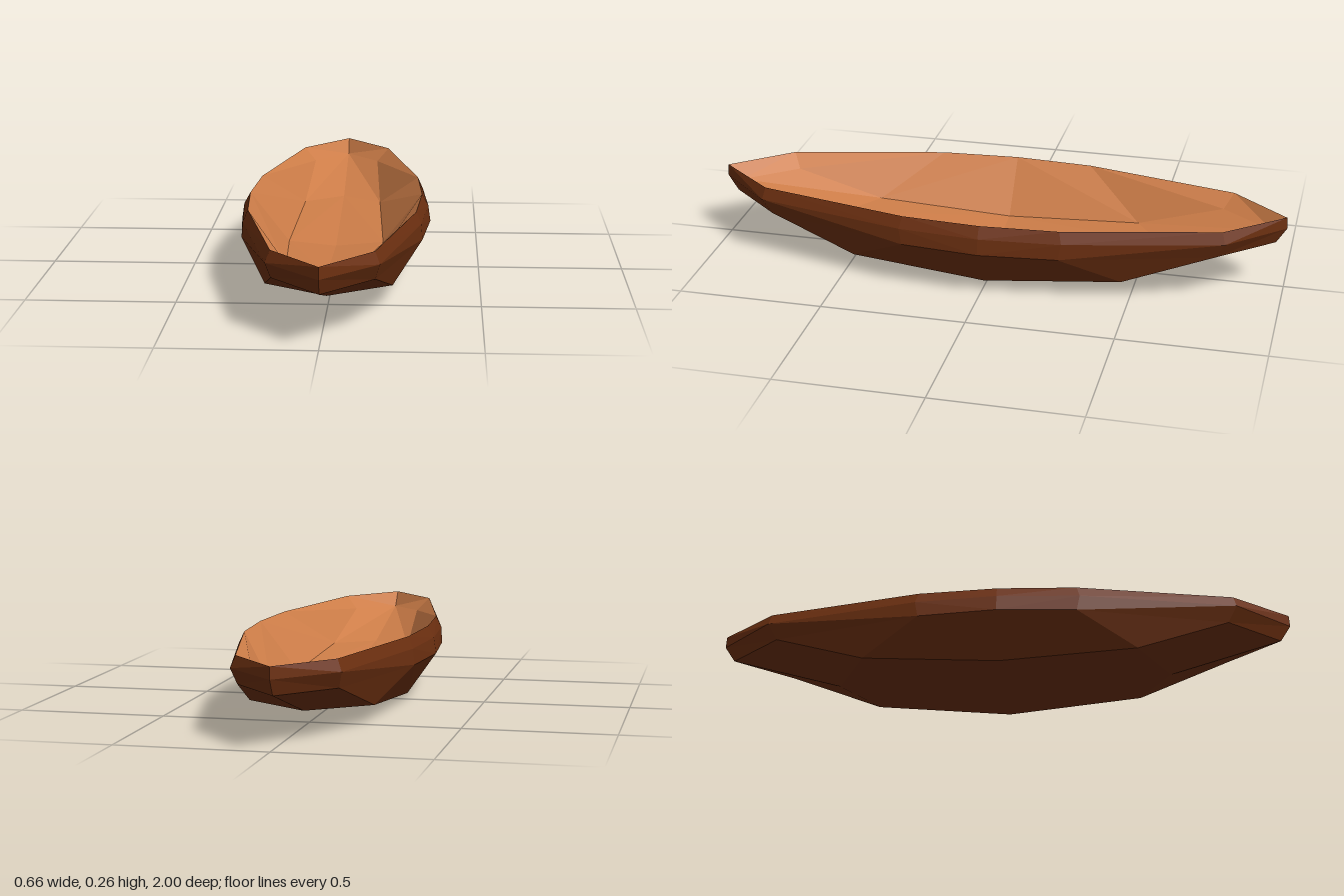
import * as THREE from 'three';

// Rings run along the hull; each lists [x, y, z] from midship to the tip for one quarter.
const keel = [[0, 0, 0], [0, 0.052, 0.58], [0, 0.165, 0.965], [0, 0.165, 0.965]];
const chine = [[0.23, 0.022, 0], [0.21, 0.06, 0.47], [0.163, 0.165, 0.78], [0, 0.165, 0.965]];
const lowerSide = [[0.33, 0.165, 0], [0.305, 0.165, 0.27], [0.163, 0.165, 0.78], [0, 0.165, 0.965]];
const upperSide = [[0.322, 0.22, 0], [0.3, 0.22, 0.28], [0.178, 0.22, 0.81], [0, 0.22, 1]];
const rim = [[0.3, 0.26, 0], [0.283, 0.26, 0.27], [0.163, 0.26, 0.8], [0, 0.26, 0.997]];
const floorEdge = [[0.165, 0.086, 0], [0.14, 0.12, 0.47], [0.12, 0.215, 0.77], [0, 0.207, 0.95]];
const floorMiddle = [[0, 0.07, 0], [0, 0.12, 0.57], [0, 0.207, 0.95], [0, 0.207, 0.95]];

// Joins successive rings with faces and mirrors them into all four quarters.
function skin(name, rings, material) {
  const positions = [];
  const same = (a, b) => a.every((v, i) => v === b[i]);
  for (const sx of [1, -1]) for (const sz of [1, -1]) {
    const triangle = (a, b, c) => {
      if (same(a, b) || same(b, c) || same(a, c)) return;
      const corners = sx * sz > 0 ? [a, b, c] : [a, c, b];
      for (const [x, y, z] of corners) positions.push(x * sx, y, z * sz);
    };
    for (let r = 0; r < rings.length - 1; r++) {
      const a = rings[r], b = rings[r + 1];
      for (let i = 0; i < a.length - 1; i++) {
        triangle(a[i], b[i], b[i + 1]);
        triangle(a[i], b[i + 1], a[i + 1]);
      }
    }
  }
  const geometry = new THREE.BufferGeometry();
  geometry.setAttribute('position', new THREE.Float32BufferAttribute(positions, 3));
  geometry.computeVertexNormals();
  const mesh = new THREE.Mesh(geometry, material);
  mesh.name = name;
  return mesh;
}

export function createModel() {
  const darkWood = new THREE.MeshStandardMaterial({ color: 0x6b2f10, flatShading: true });
  darkWood.name = 'dark wood';
  const lightWood = new THREE.MeshStandardMaterial({ color: 0xcd7d48, flatShading: true });
  lightWood.name = 'light wood';

  const boat = new THREE.Group();
  boat.name = 'boat';
  boat.add(
    skin('hull', [keel, chine, lowerSide, upperSide, rim], darkWood),
    skin('interior', [rim, floorEdge, floorMiddle], lightWood),
  );
  return boat;
}
